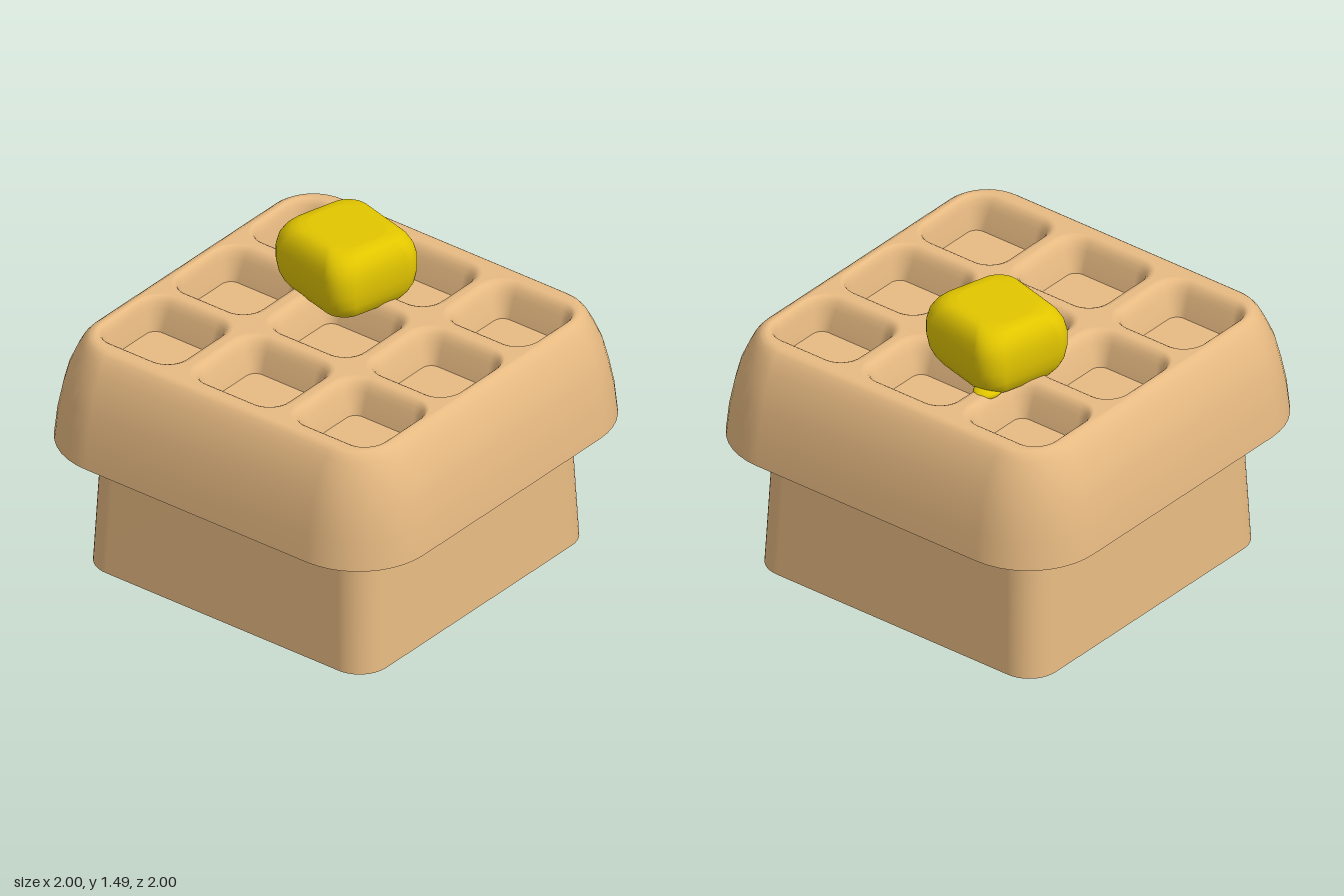
import * as THREE from 'three';

const tan = new THREE.MeshStandardMaterial({ color: 0xe7ba82 });
const yellow = new THREE.MeshStandardMaterial({ color: 0xe2c600 });
const SEG = 10; // segments per rounded corner

// Rounded rectangle as [x, z] points
function outline(x0, x1, z0, z1, r) {
  const pts = [];
  const corners = [[x1 - r, z1 - r], [x0 + r, z1 - r], [x0 + r, z0 + r], [x1 - r, z0 + r]];
  corners.forEach(([cx, cz], k) => {
    for (let i = 0; i <= SEG; i++) {
      const a = (k + i / SEG) * Math.PI / 2;
      pts.push([cx + r * Math.cos(a), cz + r * Math.sin(a)]);
    }
  });
  return pts;
}

const square = (h, r, cx = 0, cz = 0) => outline(cx - h, cx + h, cz - h, cz + h, r);

// Skin between outlines: rising order faces outward, falling order faces inward
function loft(rings) {
  const n = rings[0].pts.length, pos = [], idx = [];
  rings.forEach(({ pts, y }) => pts.forEach(([x, z]) => pos.push(x, y, z)));
  for (let j = 0; j < rings.length - 1; j++) {
    for (let i = 0; i < n; i++) {
      const a = j * n + i, b = j * n + (i + 1) % n;
      idx.push(a, a + n, b, b, a + n, b + n);
    }
  }
  const g = new THREE.BufferGeometry();
  g.setAttribute('position', new THREE.Float32BufferAttribute(pos, 3));
  g.setIndex(idx);
  g.computeVertexNormals();
  return g;
}

// Flat horizontal face with optional holes
function plate(pts, y, up, holes = []) {
  const s = up ? -1 : 1;
  const vec = list => list.map(([x, z]) => new THREE.Vector2(x, s * z));
  const shape = new THREE.Shape(vec(pts));
  holes.forEach(h => shape.holes.push(new THREE.Path(vec(h))));
  return new THREE.ShapeGeometry(shape).rotateX(s * Math.PI / 2).translate(0, y, 0);
}

function add(parent, name, geometry, material = tan) {
  const m = new THREE.Mesh(geometry, material);
  m.name = name;
  parent.add(m);
  return m;
}

function group(parent, name) {
  const g = new THREE.Group();
  g.name = name;
  parent.add(g);
  return g;
}

export function createModel() {
  const model = new THREE.Group();
  model.name = 'waffleKeycap';
  const CX = 0.02, CZ = -0.015; // skirt and stem centre

  // Waffle: domed sides, flat top with nine pits
  const waffle = group(model, 'waffle');
  const side = [[1, 0.66, 0.37], [0.985, 0.8, 0.355], [0.962, 0.92, 0.335], [0.935, 1.02, 0.305],
    [0.9, 1.1, 0.27], [0.872, 1.15, 0.235], [0.85, 1.176, 0.21], [0.835, 1.187, 0.195], [0.82, 1.19, 0.18]]
    .map(([h, y, r]) => ({ pts: square(h, r), y }));
  add(waffle, 'waffleSide', loft(side));

  const FLOOR = 1.03;
  const cols = [[-0.7, -0.35], [-0.16, 0.19], [0.39, 0.7]];
  const rows = [[-0.76, -0.39], [-0.19, 0.19], [0.38, 0.76]];
  const pitProfile = [[0.085, 1.19], [0.073, 1.189], [0.06, 1.182], [0.045, 1.165],
    [0.032, 1.135], [0.019, 1.095], [0.008, 1.06], [0, FLOOR]]; // [spread, height]
  // Pits spread less where they meet the outer rim
  const grow = (v, e) => v + e * (Math.abs(v) > 0.72 ? 0.6 : 1);
  const rims = [];
  for (const [x0, x1] of cols) {
    for (const [z0, z1] of rows) {
      const rings = pitProfile.map(([e, y]) => ({
        pts: outline(grow(x0, -e), grow(x1, e), grow(z0, -e), grow(z1, e), 0.05 + e), y,
      }));
      rims.push(rings[0].pts);
      add(waffle, 'pitWall', loft(rings));
      add(waffle, 'pitFloor', plate(rings.at(-1).pts, FLOOR, true));
    }
  }
  add(waffle, 'waffleTop', plate(side.at(-1).pts, 1.19, true, rims));
  add(waffle, 'waffleUnderside', plate(side[0].pts, 0.66, false, [square(0.78, 0.15, CX, CZ)]));

  // Tapered hollow skirt
  const skirt = group(model, 'skirt');
  const foot = square(0.813, 0.15, CX, CZ);
  const innerFoot = square(0.755, 0.012, CX, CZ), innerTop = square(0.725, 0.012, CX, CZ);
  const CEILING = 0.43;
  add(skirt, 'skirtOuter', loft([{ pts: foot, y: 0 }, { pts: square(0.785, 0.15, CX, CZ), y: 0.66 }]));
  add(skirt, 'skirtRim', plate(foot, 0, false, [innerFoot]));
  add(skirt, 'skirtInner', loft([{ pts: innerTop, y: CEILING }, { pts: innerFoot, y: 0 }]));
  add(skirt, 'skirtCeiling', plate(innerTop, CEILING, false));

  // Round stem with a cross-shaped socket
  const disc = new THREE.Shape().absarc(0, 0, 0.285, 0, Math.PI * 2);
  const L = 0.215, w = 0.07;
  disc.holes.push(new THREE.Path([[w, w], [w, L], [-w, L], [-w, w], [-L, w], [-L, -w],
    [-w, -w], [-w, -L], [w, -L], [w, -w], [L, -w], [L, w]].map(p => new THREE.Vector2(...p))));
  const stem = new THREE.ExtrudeGeometry(disc, { depth: CEILING, bevelEnabled: false, curveSegments: 24 });
  add(model, 'stem', stem.rotateX(-Math.PI / 2).translate(CX, 0, CZ));

  // Butter pat with soft edges, turned on the waffle
  const butter = group(model, 'butter');
  const pat = [[0.045, 1.17], [0.025, 1.2], [0.009, 1.24], [0, 1.3], [0, 1.37], [0.01, 1.42],
    [0.028, 1.455], [0.05, 1.478], [0.075, 1.488], [0.1, 1.491]] // [inset, height]
    .map(([e, y]) => ({ pts: outline(-0.245 + e, 0.245 - e, -0.265 + e, 0.265 - e, 0.1), y }));
  const block = group(butter, 'butterBlock');
  add(block, 'butterSide', loft(pat), yellow);
  add(block, 'butterTop', plate(pat.at(-1).pts, 1.491, true), yellow);
  add(block, 'butterBottom', plate(pat[0].pts, 1.17, false), yellow);
  block.position.set(0.285, 0, -0.168);
  block.rotation.y = -THREE.MathUtils.degToRad(15);

  // Melted dribble under one corner
  const melt = add(butter, 'meltedButter', new THREE.SphereGeometry(1, 24, 12), yellow);
  melt.scale.set(0.075, 0.03, 0.06);
  melt.position.set(0.5, 1.18, -0.29);

  return model;
}
